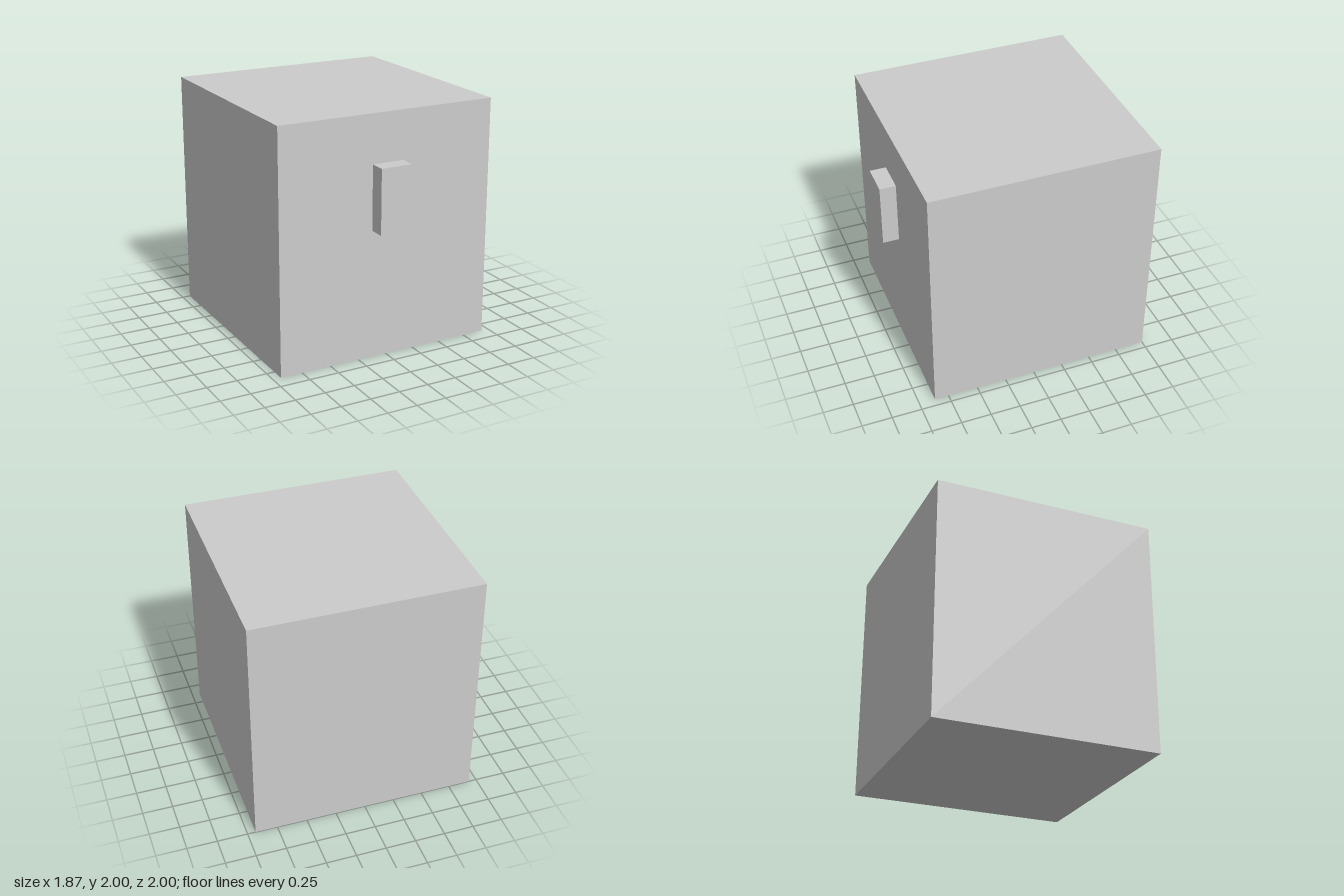
import * as THREE from 'three';

const UNIT = 2 / 15; // the model is laid out on a grid of 15 units

export function createModel() {
  const group = new THREE.Group();
  const material = new THREE.MeshStandardMaterial({ color: 0xcccccc, flatShading: true });

  // Box given by its size and its minimum corner, in grid units
  const addBox = (name, [w, h, d], [x, y, z]) => {
    const mesh = new THREE.Mesh(new THREE.BoxGeometry(w * UNIT, h * UNIT, d * UNIT), material);
    mesh.position.set(x + w / 2, y + h / 2, z + d / 2).multiplyScalar(UNIT);
    mesh.name = name;
    group.add(mesh);
  };

  // Main chest block, flush with the back
  addBox('chestBody', [14, 15, 14], [-7, 0, -7.5]);
  // Latch standing out from the front face
  addBox('latch', [2, 4, 1], [-1, 8, 6.5]);

  return group;
}
